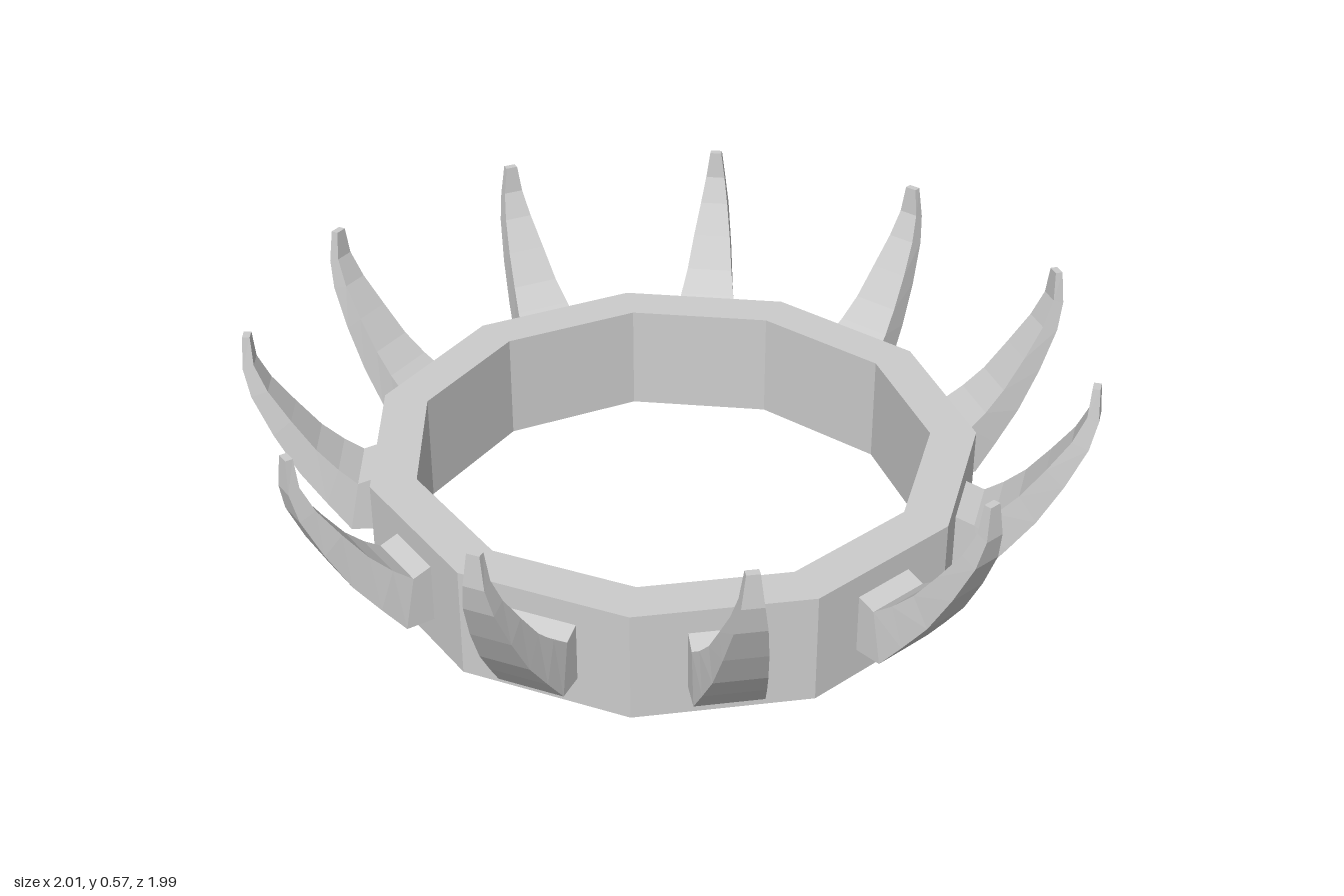
import * as THREE from 'three';

const SIDES = 11;
const CENTRE_Z = -0.02;

// Spike cross-sections: outer [distance, y], inner [distance, y], half width
const SECTIONS = [
  [0.70, 0.07, 0.70, 0.22, 0.08],
  [0.78, 0.07, 0.755, 0.20, 0.08],
  [0.835, 0.14, 0.80, 0.235, 0.071],
  [0.895, 0.22, 0.85, 0.285, 0.06],
  [0.95, 0.32, 0.905, 0.36, 0.049],
  [0.995, 0.42, 0.955, 0.435, 0.036],
  [1.01, 0.49, 0.983, 0.50, 0.025],
  [1.005, 0.57, 0.987, 0.57, 0.015],
];

function polygon(radius) {
  return Array.from({ length: SIDES }, (_, i) => {
    const a = Math.PI / 2 + (i / SIDES) * Math.PI * 2;
    return new THREE.Vector2(Math.cos(a) * radius, Math.sin(a) * radius);
  });
}

// Flat band with a corner at the back and a flat side at the front
function bandGeometry() {
  const shape = new THREE.Shape(polygon(0.74));
  shape.holes.push(new THREE.Path(polygon(0.628)));
  const geo = new THREE.ExtrudeGeometry(shape, { depth: 0.275, bevelEnabled: false });
  return geo.rotateX(-Math.PI / 2);
}

// Four-sided horn that leaves the band outwards and bends up to a blunt tip
function spikeGeometry() {
  const rings = SECTIONS.map(([od, oy, id, iy, w]) => [
    [-w, oy, od], [w, oy, od], [w, iy, id], [-w, iy, id],
  ]);
  const pos = [];
  const quad = (a, b, c, d) => pos.push(...a, ...b, ...c, ...a, ...c, ...d);
  for (let i = 0; i < rings.length - 1; i++) {
    for (let j = 0; j < 4; j++) {
      const k = (j + 1) % 4;
      quad(rings[i][j], rings[i][k], rings[i + 1][k], rings[i + 1][j]);
    }
  }
  const [first, last] = [rings[0], rings[rings.length - 1]];
  quad(first[3], first[2], first[1], first[0]);
  quad(last[0], last[1], last[2], last[3]);
  const geo = new THREE.BufferGeometry();
  geo.setAttribute('position', new THREE.Float32BufferAttribute(pos, 3));
  geo.computeVertexNormals();
  return geo;
}

export function createModel() {
  const metal = new THREE.MeshStandardMaterial({ color: 0xcccccc });
  metal.name = 'light grey';
  metal.flatShading = true;

  const group = new THREE.Group();
  group.name = 'spikedCollar';

  const band = new THREE.Mesh(bandGeometry(), metal);
  band.name = 'band';
  band.position.z = CENTRE_Z;
  group.add(band);

  // One spike on the middle of every side
  const spikeGeo = spikeGeometry();
  for (let i = 0; i < SIDES; i++) {
    const spike = new THREE.Mesh(spikeGeo, metal);
    spike.name = `spike${i + 1}`;
    spike.position.z = CENTRE_Z;
    spike.rotation.y = (i / SIDES) * Math.PI * 2;
    group.add(spike);
  }
  return group;
}
